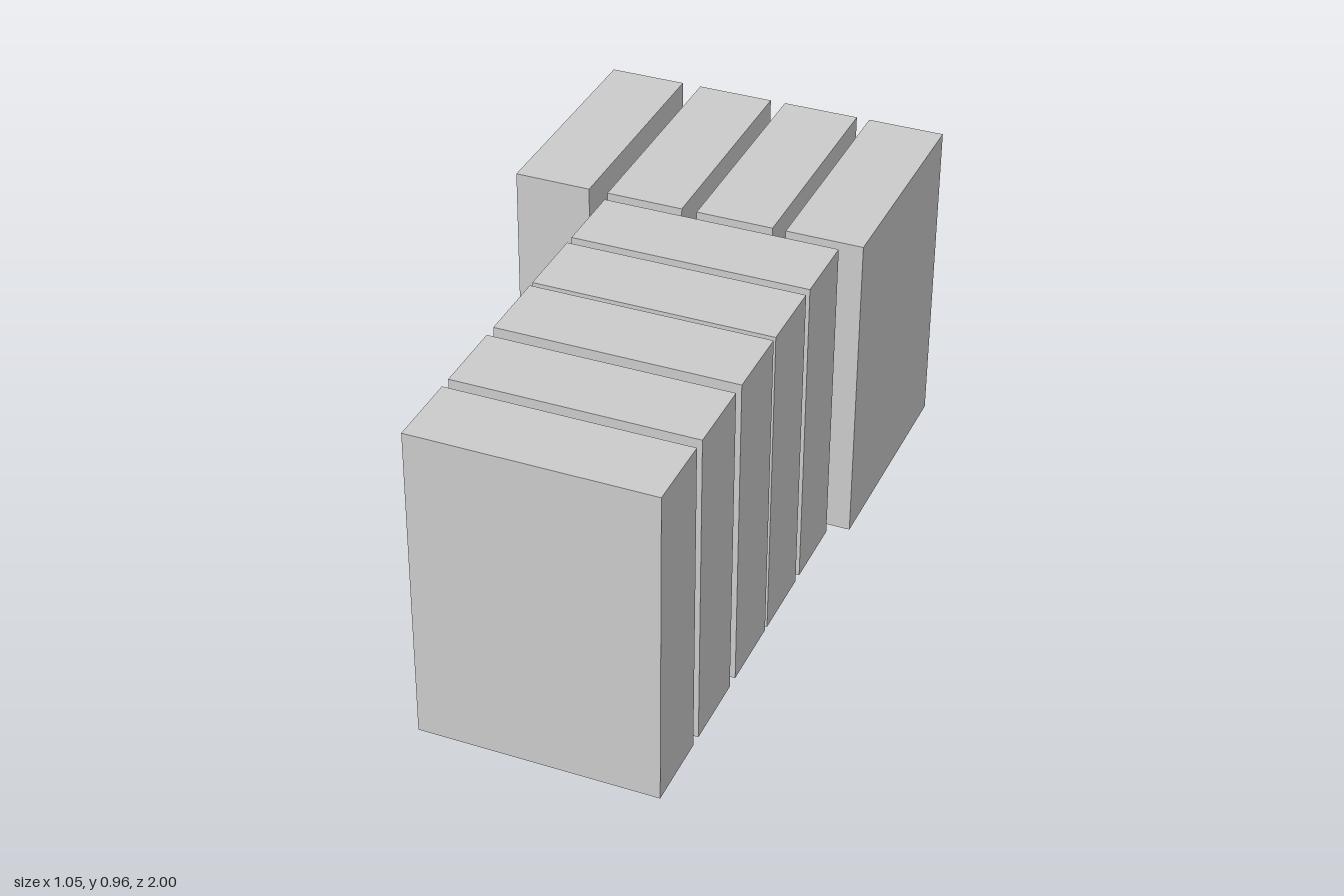
import * as THREE from 'three';

// One upright block size, shared by both rows
const THICK = 0.228, HEIGHT = 0.965, LENGTH = 0.702;

export function createModel() {
  const model = new THREE.Group();
  model.name = 'blockRows';
  const material = new THREE.MeshStandardMaterial({ color: 0xcccccc, flatShading: true });
  const geometry = new THREE.BoxGeometry(THICK, HEIGHT, LENGTH);

  const addBlock = (row, name, x, z, turn) => {
    const block = new THREE.Mesh(geometry, material);
    block.name = name;
    block.position.set(x, HEIGHT / 2, z);
    block.rotation.y = turn;
    row.add(block);
  };

  // Back row: four blocks side by side, running front to back
  const backRow = new THREE.Group();
  backRow.name = 'backRow';
  [-0.413, -0.128, 0.145, 0.412].forEach((x, i) =>
    addBlock(backRow, `backBlock${i + 1}`, x, -0.649, 0));

  // Front row: five blocks one behind the other, turned crosswise
  const frontRow = new THREE.Group();
  frontRow.name = 'frontRow';
  [-0.148, 0.11, 0.354, 0.622, 0.886].forEach((z, i) =>
    addBlock(frontRow, `frontBlock${i + 1}`, 0.116, z, Math.PI / 2));

  model.add(backRow, frontRow);
  return model;
}
